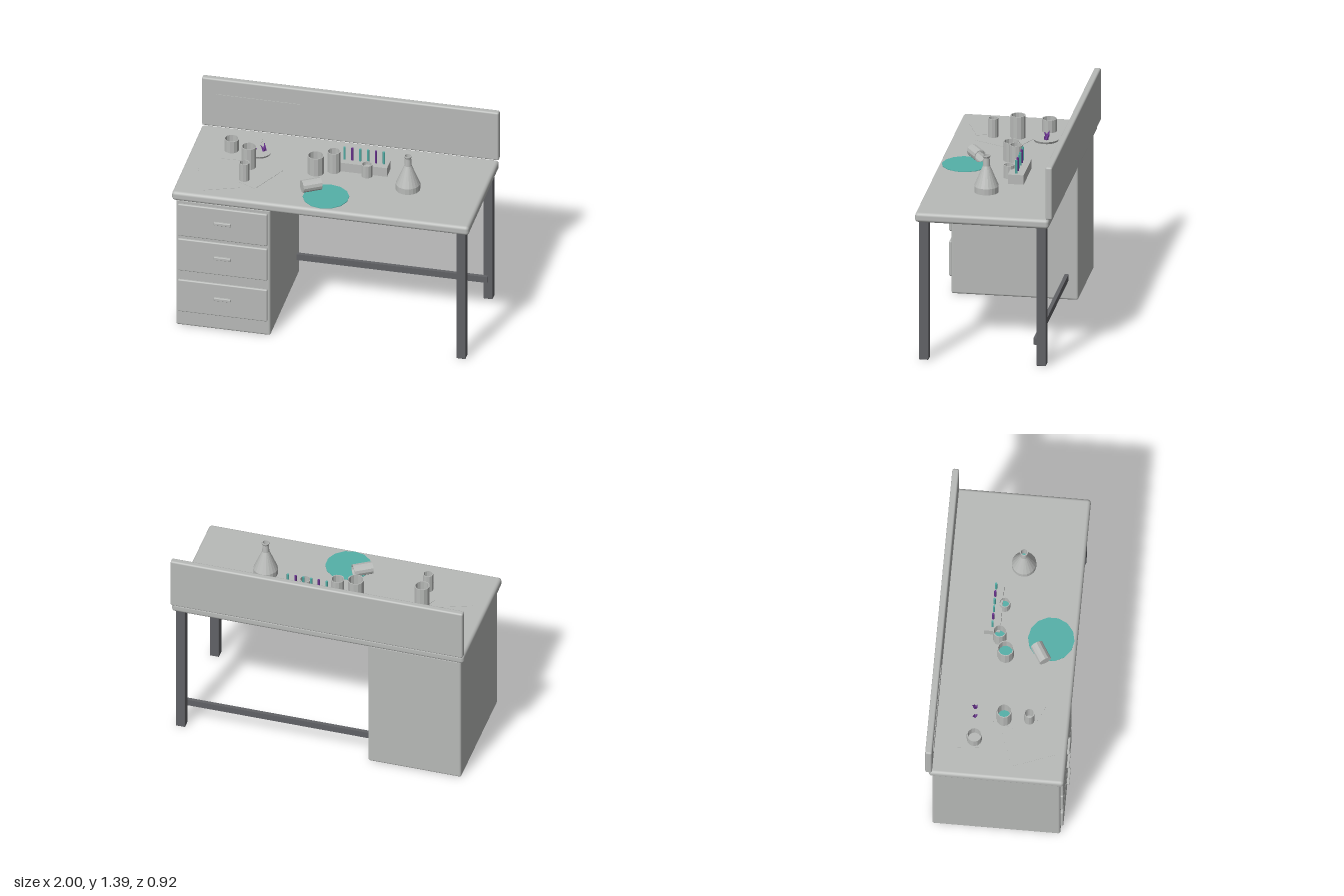
import * as THREE from 'three';
import { RoundedBoxGeometry } from 'three/addons/geometries/RoundedBoxGeometry.js';

const TOP = 1.025; // height of the work surface

export function createModel() {
  const group = new THREE.Group();
  const material = (name, color, extra = {}) => {
    const m = new THREE.MeshStandardMaterial({ color, ...extra });
    m.name = name;
    return m;
  };
  const grey = material('light grey', 0xb8bab8);
  const glass = material('glassware grey', 0xb8bab8, { flatShading: true, side: THREE.DoubleSide });
  const dark = material('dark metal', 0x616266);
  const teal = material('teal', 0x54b0a8);
  const purple = material('purple', 0x6a3390, { flatShading: true });

  const add = (name, geometry, mat, x = 0, y = 0, z = 0, parent = group) => {
    const mesh = new THREE.Mesh(geometry, mat);
    mesh.name = name;
    mesh.position.set(x, y, z);
    parent.add(mesh);
    return mesh;
  };
  // Box given by its limits, with optional rounded edges
  const block = (name, mat, [x0, x1], [y0, y1], [z0, z1], r = 0) => {
    const size = [x1 - x0, y1 - y0, z1 - z0];
    const geo = r ? new RoundedBoxGeometry(...size, 3, r) : new THREE.BoxGeometry(...size);
    return add(name, geo, mat, (x0 + x1) / 2, (y0 + y1) / 2, (z0 + z1) / 2);
  };
  const lathe = (points, sides) =>
    new THREE.LatheGeometry(points.map(([x, y]) => new THREE.Vector2(x, y)), sides);

  // Desk body
  block('tabletop', grey, [-1, 1], [0.96, TOP], [-0.438, 0.452], 0.022);
  block('backboard', grey, [-1, 1], [1.027, 1.392], [-0.461, -0.416], 0.012);
  block('wallNotice', grey, [-0.9, -0.335], [1.167, 1.278], [-0.417, -0.412]);
  block('cabinet', grey, [-0.976, -0.34], [0, 0.96], [-0.416, 0.427], 0.014);

  // Drawers with handles
  for (const y of [0.114, 0.427, 0.692]) {
    block('drawerFront', grey, [-0.96, -0.358], [y, y + 0.242], [0.425, 0.446], 0.008);
    block('drawerHandle', grey, [-0.714, -0.6], [y + 0.122, y + 0.143], [0.444, 0.463], 0.004);
  }

  // Legs and rail
  block('frontLeg', dark, [0.912, 0.974], [0, 0.965], [0.364, 0.427], 0.004);
  block('backLeg', dark, [0.912, 0.974], [0, 0.965], [-0.416, -0.352], 0.004);
  block('rail', dark, [-0.345, 0.945], [0.136, 0.18], [-0.353, -0.328]);

  // Loose papers: x, z, turn
  [[-0.74, 0.2, 0.36], [-0.52, 0.1, -0.45], [-0.68, -0.19, 0.06]].forEach(([x, z, turn]) => {
    add('paper', new THREE.BoxGeometry(0.24, 0.002, 0.3), grey, x, TOP + 0.001, z).rotation.y = turn;
  });

  // Open beakers, some holding liquid
  const beaker = (r, h) => lathe(
    [[0, 0], [r, 0], [r, h], [r - 0.006, h], [r - 0.006, 0.006], [0, 0.006]], 12);
  [
    [-0.738, -0.16, 0.05, 0.088, 0],
    [-0.58, 0.022, 0.05, 0.157, 0.05],
    [-0.572, 0.187, 0.035, 0.13, 0],
    [-0.136, -0.008, 0.055, 0.131, 0.05],
    [-0.025, -0.057, 0.045, 0.149, 0.05],
    [0.2, -0.044, 0.037, 0.088, 0.03],
  ].forEach(([x, z, r, h, level]) => {
    add('beaker', beaker(r, h), glass, x, TOP, z);
    if (level) add('beakerLiquid', new THREE.CylinderGeometry(r - 0.007, r - 0.007, level, 12), teal, x, TOP + level / 2, z);
  });

  // Tipped beaker and its spill
  const dir = new THREE.Vector3(0.85, 0, -0.53).normalize();
  const tipped = add('tippedBeaker', beaker(0.042, 0.13), glass, -0.113, TOP + 0.042, 0.222);
  tipped.quaternion.setFromUnitVectors(new THREE.Vector3(0, 1, 0), dir);
  tipped.position.addScaledVector(dir, -0.065);
  add('spill', new THREE.CylinderGeometry(0.153, 0.153, 0.004, 14), teal, 0, TOP + 0.002, 0.28);

  // Conical flask with liquid
  add('flask', lathe([[0, 0], [0.081, 0], [0.081, 0.042], [0.024, 0.18], [0.021, 0.235],
    [0.027, 0.247], [0.027, 0.253], [0.02, 0.253], [0.018, 0.18], [0.074, 0.042]], 20), glass, 0.5, TOP, 0.056);
  add('flaskLiquid', new THREE.CylinderGeometry(0.07, 0.073, 0.045, 16), teal, 0.5, TOP + 0.023, 0.056);

  // Dish with crystals: x, z, height, lean x, lean z
  add('dish', new THREE.CylinderGeometry(0.088, 0.08, 0.016, 24), grey, -0.556, TOP + 0.008, -0.168);
  [
    [-0.592, -0.178, 0.045, -0.3, 0.4], [-0.582, -0.16, 0.04, 0.5, -0.2],
    [-0.535, -0.172, 0.05, 0.2, 0.5], [-0.522, -0.186, 0.055, -0.4, 0.15], [-0.518, -0.165, 0.035, 0.3, -0.4],
  ].forEach(([x, z, h, rx, rz]) => {
    add('crystal', new THREE.ConeGeometry(0.013, h, 4), purple, x, TOP + 0.014 + h / 2, z).rotation.set(rx, 0, rz);
  });

  // Test tube rack
  block('tubeRack', grey, [0, 0.332], [TOP, 1.09], [-0.163, -0.058]);
  for (let i = 0; i < 6; i++) {
    add('testTube', new THREE.CylinderGeometry(0.008, 0.008, 0.1, 8), i % 3 === 1 ? purple : teal,
      0.034 + i * 0.053, 1.131, -0.11);
  }
  return group;
}
